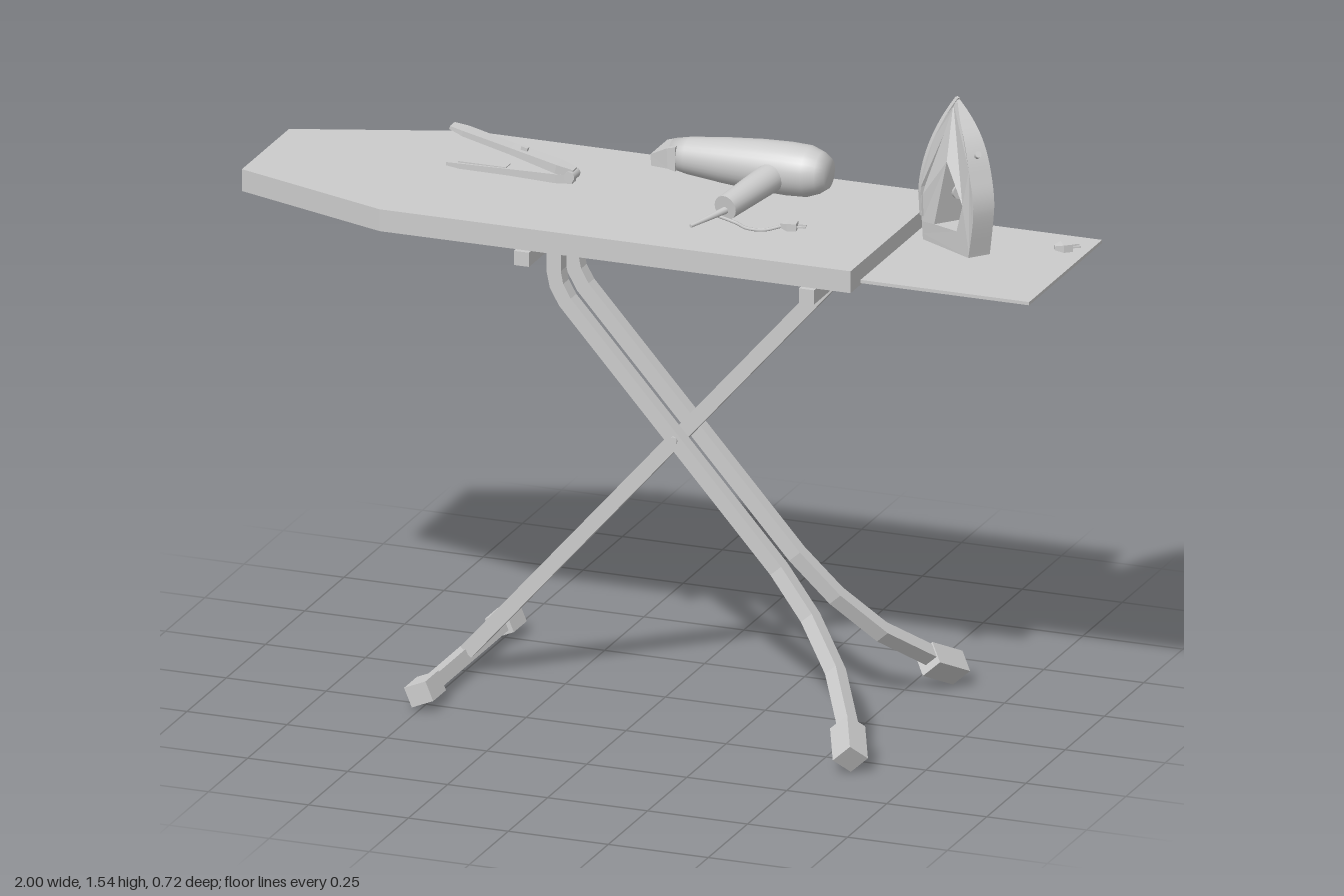
import * as THREE from 'three';

const V = (p) => new THREE.Vector3(...p);
const grey = () => new THREE.MeshStandardMaterial({ color: 0xcccccc, side: THREE.DoubleSide });

function add(parent, name, geometry, position = [0, 0, 0]) {
  const mesh = new THREE.Mesh(geometry, grey());
  mesh.name = name;
  mesh.position.set(...position);
  parent.add(mesh);
  return mesh;
}
const box = (parent, name, size, position) => add(parent, name, new THREE.BoxGeometry(...size), position);

// Square-section bar along a path; sizes holds one [side, normal] pair, or one per point
function bar(points, sizes) {
  const p = points.map(V);
  const rings = p.map((c, i) => {
    const t = new THREE.Vector3();
    if (i > 0) t.add(c.clone().sub(p[i - 1]).normalize());
    if (i < p.length - 1) t.add(p[i + 1].clone().sub(c).normalize());
    t.normalize();
    const s = new THREE.Vector3(0, 0, 1).addScaledVector(t, -t.z).normalize();
    const n = t.clone().cross(s);
    const [w, h] = sizes[Math.min(i, sizes.length - 1)];
    return [[1, 1], [-1, 1], [-1, -1], [1, -1]].map(([a, b]) =>
      c.clone().addScaledVector(s, a * w / 2).addScaledVector(n, b * h / 2));
  });
  const out = [];
  const quad = (a, b, c, d) => out.push(a, b, c, a, c, d);
  for (let k = 0; k < rings.length - 1; k++)
    for (let j = 0; j < 4; j++) {
      const m = (j + 1) % 4;
      quad(rings[k][j], rings[k][m], rings[k + 1][m], rings[k + 1][j]);
    }
  quad(...rings[0].slice().reverse());
  quad(...rings[rings.length - 1]);
  const g = new THREE.BufferGeometry().setFromPoints(out);
  g.computeVertexNormals();
  return g;
}

// Round rod between two points
function rod(parent, name, a, b, r0, r1, sides = 20) {
  const from = V(a), dir = V(b).sub(from);
  const mesh = add(parent, name, new THREE.CylinderGeometry(r1, r0, dir.length(), sides));
  mesh.position.copy(from).addScaledVector(dir, 0.5);
  mesh.quaternion.setFromUnitVectors(new THREE.Vector3(0, 1, 0), dir.normalize());
  return mesh;
}

const cord = (parent, name, pts, r) =>
  add(parent, name, new THREE.TubeGeometry(new THREE.CatmullRomCurve3(pts.map(V)), 24, r, 6));

function plug(parent, name, x, y, z, turn) {
  const g = new THREE.Group();
  g.name = name;
  g.add(new THREE.Mesh(bar([[-0.028, 0, 0], [-0.01, 0, 0], [0.012, 0, 0]], [[0.012, 0.01], [0.034, 0.018], [0.03, 0.018]]), grey()));
  g.children[0].name = 'plugBody';
  for (const s of [-1, 1]) box(g, 'plugPin', [0.022, 0.004, 0.004], [0.022, 0, s * 0.008]);
  g.position.set(x, y, z);
  g.rotation.y = turn;
  parent.add(g);
}

function buildBoard(root) {
  const shape = new THREE.Shape([[-1, -0.15], [-0.6, -0.292], [0.578, -0.292], [0.578, 0.292], [-0.6, 0.292], [-1, 0.15]]
    .map(([x, y]) => new THREE.Vector2(x, y)));
  const g = new THREE.ExtrudeGeometry(shape, { depth: 0.054, bevelEnabled: false });
  g.rotateX(-Math.PI / 2);
  add(root, 'boardTop', g, [0, 1.165, 0]);
  box(root, 'ironRest', [0.43, 0.008, 0.464], [0.785, 1.173, -0.003]);
  for (const x of [-0.25, 0.463]) box(root, 'crossBar', [0.038, 0.035, 0.56], [x, 1.138, 0]);
}

function buildLegs(root) {
  const xAt = (y) => 0.05 + (0.66 - y) / 1.13;
  // Single leg with its foot bar
  add(root, 'singleLeg', bar([[0.463, 1.13, 0], [-0.49, 0.05, 0]], [[0.048, 0.036]]));
  const foot = new THREE.Group();
  foot.name = 'footBar';
  box(foot, 'footTube', [0.036, 0.034, 0.5], [0, 0, 0]);
  for (const s of [-1, 1]) box(foot, 'footCap', [0.058, 0.05, 0.082], [0, 0, s * 0.257]);
  foot.position.set(-0.5, 0.035, 0);
  foot.rotation.z = 0.4;
  root.add(foot);
  // Pair of legs that splay at the bottom
  for (const s of [-1, 1]) {
    const pts = [[-0.25, 1.15, 0.057], [-0.25, 1.04, 0.057], [-0.243, 1.005, 0.057], [-0.222, 0.967, 0.057]];
    for (const [y, z] of [[0.37, 0.057], [0.27, 0.082], [0.17, 0.148], [0.075, 0.275]]) pts.push([xAt(y), y, z]);
    add(root, 'splayedLeg', bar(pts.map(([x, y, z]) => [x, y, s * z]), [[0.036, 0.036]]));
    add(root, 'legCap', bar([[0.556, 0.077, s * 0.255], [0.597, 0.032, s * 0.342]], [[0.058, 0.058]]));
  }
  rod(root, 'pivotPin', [0.05, 0.66, -0.08], [0.05, 0.66, 0.08], 0.01, 0.01, 12);
}

function buildIron(root) {
  const iron = new THREE.Group();
  iron.name = 'iron';
  iron.position.set(0.65, 1.178, -0.13);
  iron.rotation.y = -0.705;
  root.add(iron);
  const lean = (v) => 0.06 * Math.pow(Math.max(v, 0) / 0.36, 3);
  const half = (v) => v < 0.12 ? 0.06 + 0.008 * v / 0.12 : 0.068 * (1 - Math.pow(Math.min((v - 0.12) / 0.24, 1), 1.8)) + 0.0005;
  // Side profile with the grip opening, narrowed towards the tip and the grip
  const profile = new THREE.Shape();
  for (let i = 0; i <= 24; i++) {
    const v = 0.36 * i / 24;
    i ? profile.lineTo(lean(v), v) : profile.moveTo(0, 0);
  }
  profile.splineThru([[0.135, 0.28], [0.172, 0.2], [0.188, 0.12], [0.165, 0]].map(([x, y]) => new THREE.Vector2(x, y)));
  const hole = new THREE.Path([[0.045, 0.05], [0.085, 0.215], [0.15, 0.125], [0.125, 0.055]].map(([x, y]) => new THREE.Vector2(x, y)));
  profile.holes.push(hole);
  const body = new THREE.ExtrudeGeometry(profile, { depth: 2, bevelEnabled: false, curveSegments: 24 });
  const pos = body.attributes.position;
  for (let i = 0; i < pos.count; i++) {
    const u = pos.getX(i), v = pos.getY(i);
    pos.setZ(i, (pos.getZ(i) - 1) * half(v) * (1 - 3.2 * (u - lean(v))));
  }
  body.computeVertexNormals();
  add(iron, 'ironBody', body);
  // Sole plate, bent to follow the lean
  const arch = [];
  for (let i = 0; i <= 20; i++) arch.push(new THREE.Vector2(half(0.06 + 0.015 * i) + 0.002, 0.06 + 0.015 * i));
  const outline = arch.concat(arch.slice().reverse().map((p) => new THREE.Vector2(-p.x, p.y)));
  const sole = new THREE.ExtrudeGeometry(new THREE.Shape(outline), { depth: 0.012, bevelEnabled: false });
  sole.rotateY(-Math.PI / 2);
  const sp = sole.attributes.position;
  for (let i = 0; i < sp.count; i++) sp.setX(i, sp.getX(i) + 0.006 + lean(sp.getY(i)));
  sole.computeVertexNormals();
  add(iron, 'solePlate', sole);
  rod(iron, 'ironDial', [0.04, 0.13, 0], [0.072, 0.13, 0], 0.02, 0.018);
  rod(iron, 'steamButton', [0.145, 0.24, 0], [0.162, 0.25, 0], 0.009, 0.008, 12);
  plug(root, 'ironPlug', 0.95, 1.187, -0.135, 0.6);
}

function buildDryer(root) {
  const dryer = new THREE.Group();
  dryer.name = 'hairDryer';
  root.add(dryer);
  const profile = [[0, -0.04], [0.036, -0.04], [0.044, 0], [0.054, 0.09], [0.061, 0.18], [0.063, 0.25], [0.061, 0.3], [0.05, 0.33], [0.036, 0.35], [0, 0.35]]
    .map(([r, y]) => new THREE.Vector2(r, y));
  const body = add(dryer, 'dryerBody', new THREE.LatheGeometry(profile, 32), [0, 1.283, -0.153]);
  body.rotation.z = -Math.PI / 2;
  add(dryer, 'dryerNozzle', bar([[-0.02, 1.283, -0.153], [-0.04, 1.283, -0.153], [-0.075, 1.28, -0.153]], [[0.08, 0.06], [0.08, 0.05], [0.11, 0.028]]));
  rod(dryer, 'dryerHandle', [0.225, 1.275, -0.12], [0.178, 1.251, 0.072], 0.036, 0.03);
  rod(dryer, 'cordSleeve', [0.18, 1.245, 0.065], [0.132, 1.234, 0.175], 0.009, 0.004, 10);
  cord(dryer, 'dryerCord', [[0.165, 1.236, 0.09], [0.21, 1.224, 0.088], [0.25, 1.224, 0.115], [0.29, 1.224, 0.112], [0.33, 1.232, 0.088]], 0.004);
  plug(dryer, 'dryerPlug', 0.35, 1.233, 0.083, 0.15);
}

function buildStraightener(root) {
  const g = new THREE.Group();
  g.name = 'hairStraightener';
  g.position.set(-0.245, 1.235, -0.043);
  root.add(g);
  const sizes = [[0.026, 0.02], [0.04, 0.022], [0.036, 0.016], [0.04, 0.013], [0.03, 0.008]];
  const xs = [0, -0.04, -0.16, -0.28, -0.315];
  [[0, 'lowerArm', -0.004], [-0.245, 'upperArm', 0.01]].forEach(([angle, name, y]) => {
    const arm = add(g, name, bar(xs.map((x) => [x, 0, 0]), sizes), [0, y, 0]);
    arm.rotation.z = angle;
    box(arm, 'heatPlate', [0.12, 0.006, 0.028], [-0.225, angle ? -0.007 : 0.007, 0]);
    if (angle) box(arm, 'switch', [0.016, 0.01, 0.012], [-0.13, 0.012, 0]);
  });
  rod(g, 'hinge', [-0.005, 0.004, -0.02], [-0.005, 0.004, 0.02], 0.013, 0.013, 16);
}

export function createModel() {
  const root = new THREE.Group();
  root.name = 'ironingBoard';
  buildBoard(root);
  buildLegs(root);
  buildIron(root);
  buildDryer(root);
  buildStraightener(root);
  return root;
}
